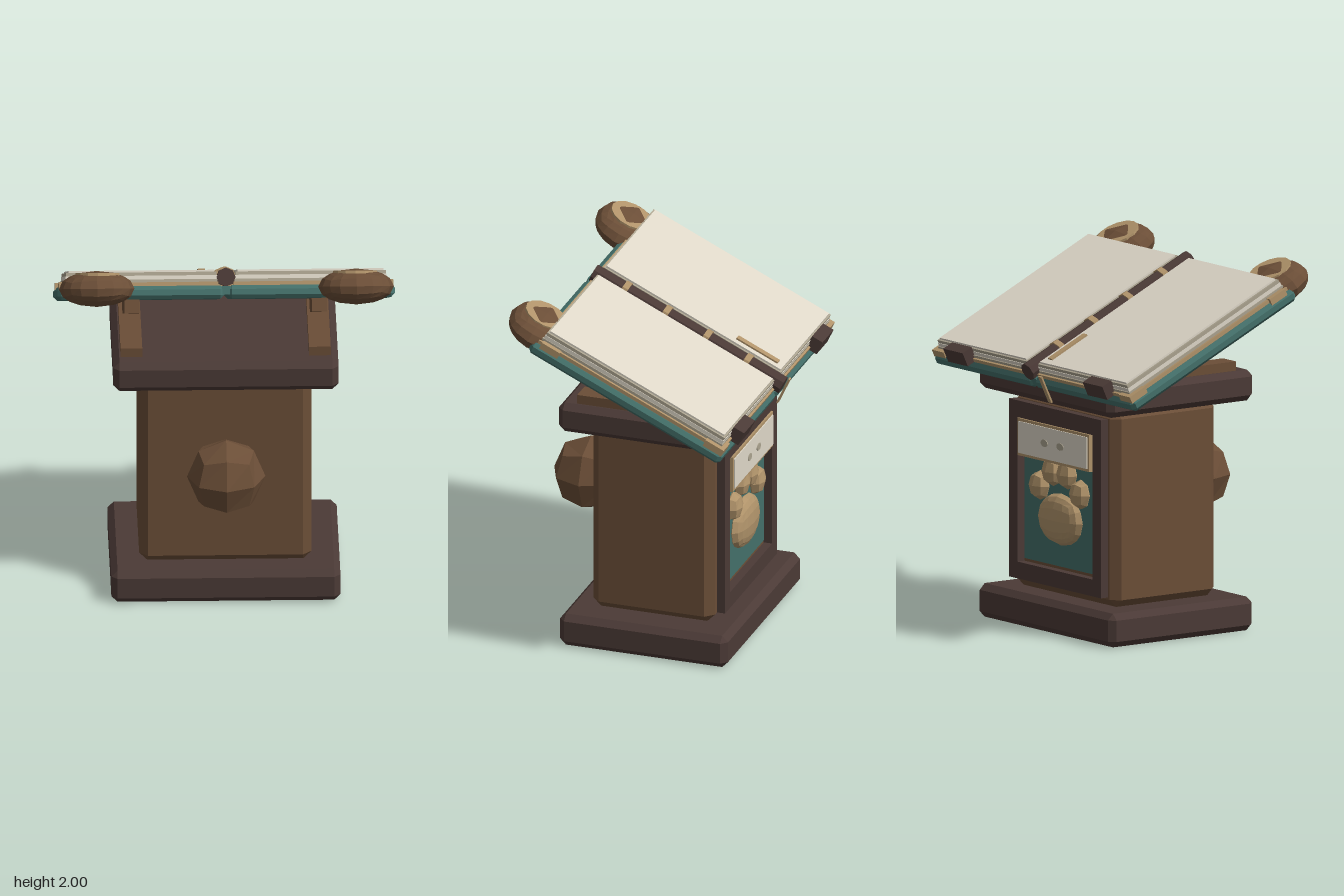
import * as THREE from 'three';
import { ConvexGeometry } from 'three/addons/geometries/ConvexGeometry.js';

const paint = (name, color) => {
  const m = new THREE.MeshStandardMaterial({ color });
  m.name = name;
  return m;
};

// Faceted version of any geometry
function faceted(geometry) {
  const g = geometry.index ? geometry.toNonIndexed() : geometry;
  g.computeVertexNormals();
  return g;
}

// Box with all twelve edges chamfered by c
function chamferBox(w, h, d, c) {
  const x = w / 2, y = h / 2, z = d / 2, pts = [];
  for (const i of [-1, 1]) for (const j of [-1, 1]) for (const k of [-1, 1]) {
    pts.push(
      new THREE.Vector3(i * x, j * (y - c), k * (z - c)),
      new THREE.Vector3(i * (x - c), j * y, k * (z - c)),
      new THREE.Vector3(i * (x - c), j * (y - c), k * z));
  }
  return new ConvexGeometry(pts);
}

// Ellipsoid made by rounding a subdivided cube
function cubeBall(rx, ry, rz, n) {
  const g = new THREE.BoxGeometry(1, 1, 1, n, n, n);
  const p = g.attributes.position, v = new THREE.Vector3();
  for (let i = 0; i < p.count; i++) {
    v.fromBufferAttribute(p, i).normalize();
    p.setXYZ(i, v.x * rx, v.y * ry, v.z * rz);
  }
  return faceted(g);
}

function add(parent, name, geometry, material, x = 0, y = 0, z = 0) {
  const mesh = new THREE.Mesh(geometry, material);
  mesh.name = name;
  mesh.position.set(x, y, z);
  parent.add(mesh);
  return mesh;
}

// Plain box given by its limits on each axis
function slab(parent, name, material, [x0, x1], [y0, y1], [z0, z1]) {
  return add(parent, name, new THREE.BoxGeometry(x1 - x0, y1 - y0, z1 - z0), material,
    (x0 + x1) / 2, (y0 + y1) / 2, (z0 + z1) / 2);
}

// Same as slab, on the side given by s
const side = (s, a, b) => (s > 0 ? [a, b] : [-b, -a]);

export function createModel() {
  const wood = paint('wood', 0x6b4e37);
  const dark = paint('dark wood', 0x4b3a36);
  const teal = paint('teal cover', 0x44706a);
  const tan = paint('tan trim', 0xb0936a);
  const cream = paint('cream paper', 0xded7c8);
  const edge = paint('paper edge', 0xaba38f);

  const model = new THREE.Group();
  model.name = 'lectern';

  // Pedestal
  const stand = new THREE.Group();
  stand.name = 'pedestal';
  model.add(stand);
  add(stand, 'base', chamferBox(1.21, 0.18, 0.94, 0.033), dark, 0, 0.09, -0.05);
  add(stand, 'body', chamferBox(0.91, 1.06, 0.68, 0.045), wood, 0, 0.705, -0.05);
  add(stand, 'topSlab', chamferBox(1.19, 0.165, 0.955, 0.033), dark, 0, 1.3125, -0.0475);
  add(stand, 'frontKnob', cubeBall(0.207, 0.207, 0.207, 2), wood, 0, 0.752, 0.447);

  // Framed panel on the back
  const panel = new THREE.Group();
  panel.name = 'backPanel';
  model.add(panel);
  slab(panel, 'panelField', teal, [-0.37, 0.37], [0.34, 1.085], [-0.402, -0.385]);
  for (const [y0, y1] of [[0.235, 0.325], [1.1, 1.19]])
    slab(panel, 'frameRail', dark, [-0.41, 0.41], [y0, y1], [-0.447, -0.4]);
  for (const s of [-1, 1])
    slab(panel, 'frameStile', dark, side(s, 0.335, 0.41), [0.325, 1.1], [-0.447, -0.4]);

  // Plaque and paw mark
  slab(panel, 'plaqueBorder', tan, [-0.32, 0.32], [0.9, 1.1], [-0.458, -0.4]);
  slab(panel, 'plaque', cream, [-0.305, 0.305], [0.915, 1.085], [-0.464, -0.456]);
  for (const s of [-1, 1]) {
    const spot = add(panel, 'plaqueSpot', new THREE.CylinderGeometry(1, 1, 0.006, 10), edge,
      s * 0.07, 1.0, -0.465);
    spot.scale.set(0.03, 1, 0.02);
    spot.rotation.x = Math.PI / 2;
    for (const [x, y] of [[0.18, 0.755], [0.066, 0.845]])
      add(panel, 'pawToe', cubeBall(0.075, 0.08, 0.055, 2), tan, s * x, y, -0.41);
  }
  add(panel, 'pawPad', cubeBall(0.19, 0.14, 0.062, 4), tan, 0, 0.595, -0.406);

  // Rails lying on the slab
  for (const s of [-1, 1])
    slab(stand, 'restRail', wood, side(s, 0.44, 0.555), [1.39, 1.445], [-0.4, 0.33]);

  // Open book, tilted towards the reader at the back
  const book = new THREE.Group();
  book.name = 'book';
  book.position.set(0, 1.59, -0.0525);
  book.rotation.x = -THREE.MathUtils.degToRad(25);
  model.add(book);

  slab(book, 'hinge', teal, [-0.025, 0.025], [-0.015, 0.03], [-0.58, 0.58]);
  for (const s of [-1, 1]) {
    add(book, 'cover', chamferBox(0.88, 0.07, 1.18, 0.02), teal, s * 0.45, 0, 0);
    slab(book, 'endpaper', tan, side(s, 0.04, 0.866), [0.03, 0.055], [-0.57, 0.563]);
    slab(book, 'lowerPages', edge, side(s, 0.045, 0.852), [0.055, 0.07], [-0.558, 0.553]);
    slab(book, 'middlePages', cream, side(s, 0.045, 0.848), [0.07, 0.09], [-0.553, 0.548]);
    slab(book, 'upperPages', edge, side(s, 0.05, 0.845), [0.09, 0.108], [-0.55, 0.545]);
    slab(book, 'openPage', cream, side(s, 0.062, 0.832), [0.108, 0.118], [-0.54, 0.535]);

    // Corner caps, page clips and support props
    for (const [z0, z1] of [[-0.582, -0.47], [0.43, 0.54]])
      slab(book, 'cornerCap', tan, side(s, 0.78, 0.883), [0.02, 0.06], [z0, z1]);
    slab(book, 'pageClip', dark, side(s, 0.535, 0.71), [0.035, 0.116], [-0.615, -0.55]);
    slab(book, 'supportProp', wood, side(s, 0.455, 0.535), [-0.107, -0.03], [-0.34, 0.38]);

    // Round paws gripping the upper corners
    add(book, 'pawGrip', cubeBall(0.2, 0.095, 0.175, 4), wood, s * 0.685, 0.022, 0.61);
    add(book, 'pawGripPad', faceted(new THREE.CylinderGeometry(0.118, 0.118, 0.05, 14)), tan,
      s * 0.68, 0.081, 0.613);
  }

  // Spine rod with bands
  const rod = add(book, 'spineRod', faceted(new THREE.CylinderGeometry(0.05, 0.05, 1.17, 8)), dark,
    0, 0.078, -0.012);
  rod.rotation.x = Math.PI / 2;
  for (let i = 0; i < 4; i++) {
    const band = add(book, 'spineBand', faceted(new THREE.CylinderGeometry(0.058, 0.058, 0.033, 8)), tan,
      0, 0.078, -0.37 + i * 0.25);
    band.rotation.x = Math.PI / 2;
  }

  // Ribbon bookmark with its hanging end
  slab(book, 'ribbon', tan, [-0.13, -0.095], [0.118, 0.127], [-0.505, -0.25]);
  slab(book, 'ribbonTail', tan, [-0.125, -0.097], [-0.09, 0.07], [-0.604, -0.594]);

  return model;
}
